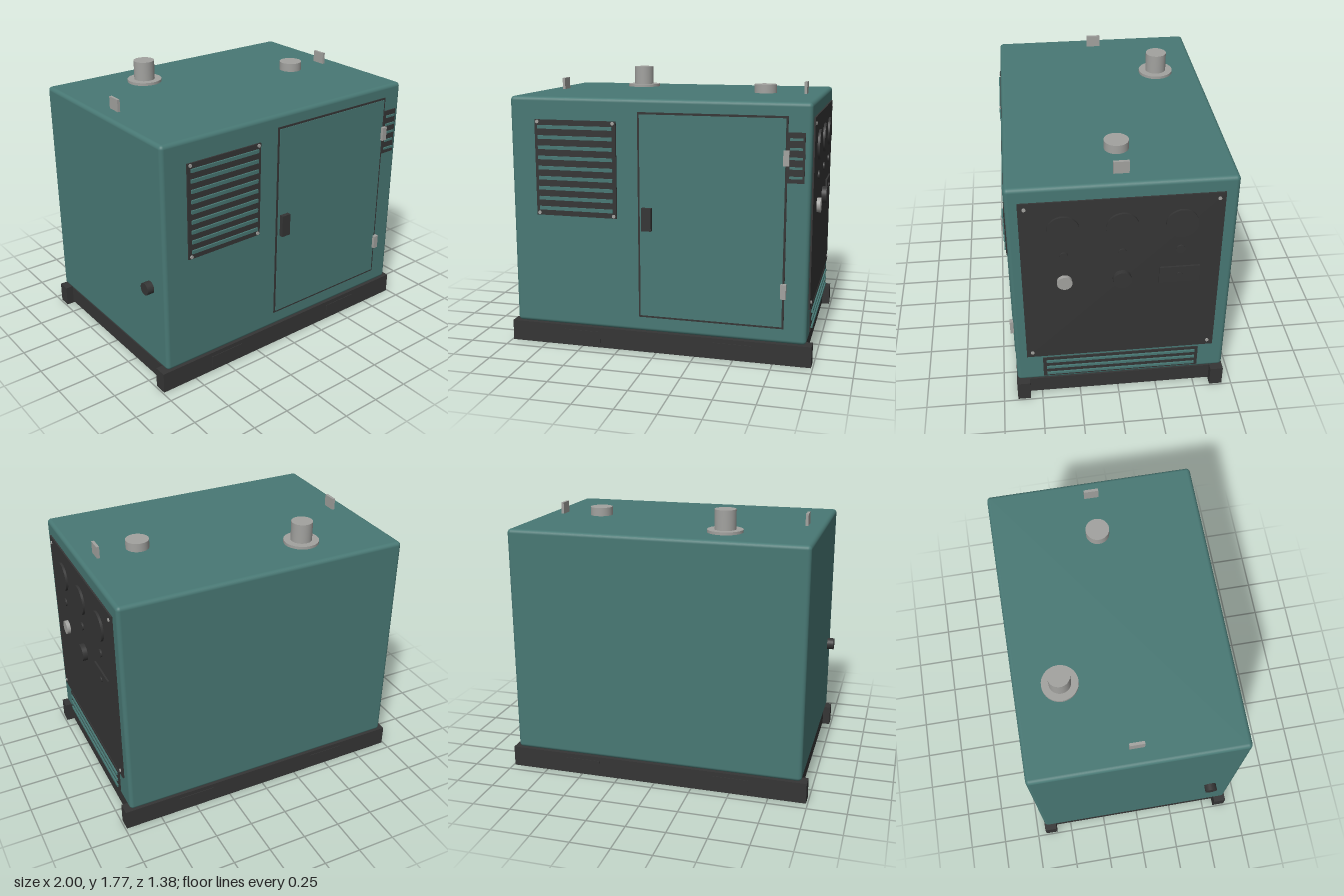
import * as THREE from 'three';
import { RoundedBoxGeometry } from 'three/addons/geometries/RoundedBoxGeometry.js';

export function createModel() {
  const model = new THREE.Group();
  model.name = 'generatorSet';
  const material = (name, color) => {
    const m = new THREE.MeshStandardMaterial({ color });
    m.name = name;
    return m;
  };
  const teal = material('teal paint', 0x487874);
  const dark = material('dark grey', 0x353535);
  const metal = material('bare metal', 0xa2a29f);

  const add = (name, geometry, mat) => {
    const mesh = new THREE.Mesh(geometry, mat);
    mesh.name = name;
    model.add(mesh);
    return mesh;
  };
  // Box given by its limits on each axis
  const box = (name, mat, x0, x1, y0, y1, z0, z1) => {
    const mesh = add(name, new THREE.BoxGeometry(x1 - x0, y1 - y0, z1 - z0), mat);
    mesh.position.set((x0 + x1) / 2, (y0 + y1) / 2, (z0 + z1) / 2);
    return mesh;
  };
  // Cylinder standing up, or lying along x or z, between two limits on its axis
  const rod = (name, mat, axis, a, b, r, u, v) => {
    const g = new THREE.CylinderGeometry(r, r, b - a, 32);
    const c = (a + b) / 2;
    if (axis === 'x') g.rotateZ(-Math.PI / 2);
    if (axis === 'z') g.rotateX(Math.PI / 2);
    const mesh = add(name, g, mat);
    if (axis === 'x') mesh.position.set(c, u, v);
    if (axis === 'y') mesh.position.set(u, c, v);
    if (axis === 'z') mesh.position.set(u, v, c);
    return mesh;
  };

  const frontZ = 0.655, backZ = -0.684, sideX = 0.955, roofY = 1.625;

  // Enclosure
  const depth = frontZ - backZ;
  const body = add('enclosure', new RoundedBoxGeometry(sideX * 2, 1.487, depth, 4, 0.025), teal);
  body.position.set(0, 0.138 + 1.487 / 2, (frontZ + backZ) / 2);

  // Skid: two rails with fork pocket plates, joined by three cross beams
  for (const [z0, z1] of [[0.577, 0.66], [-0.688, -0.605]]) {
    box('skidRail', dark, -0.99, 0.99, 0, 0.135, z0, z1);
    for (const x of [-0.5, 0.495]) {
      box('forkPocketPlate', dark, x - 0.122, x + 0.122, 0.03, 0.107, z0 - 0.004, z1 + 0.004);
    }
  }
  for (const x of [-0.895, 0, 0.895]) {
    box('crossBeam', dark, x - 0.045, x + 0.045, 0.012, 0.125, -0.61, 0.58);
  }

  // Front intake grille with louvres and corner screws
  box('intakeGrille', dark, -0.787, -0.25, 0.87, 1.483, 0.65, 0.665);
  for (let i = 0; i < 9; i++) {
    const y = 0.917 + i * 0.0651;
    box('intakeLouvre', teal, -0.765, -0.273, y - 0.011, y + 0.011, 0.655, 0.675);
  }
  for (const x of [-0.768, -0.269]) {
    for (const y of [0.885, 1.47]) rod('grilleScrew', metal, 'z', 0.66, 0.672, 0.011, x, y);
  }

  // Small front vent beside the door
  box('sideVent', dark, 0.81, 0.917, 1.148, 1.45, 0.65, 0.663);
  for (let i = 0; i < 5; i++) {
    const y = 1.182 + i * 0.057;
    box('sideVentLouvre', teal, 0.828, 0.905, y - 0.007, y + 0.007, 0.655, 0.672);
  }

  // Door: dark seal showing round a teal panel, latch and hinges
  box('doorSeal', dark, -0.112, 0.815, 0.235, 1.545, 0.65, 0.659);
  box('doorPanel', teal, -0.099, 0.802, 0.248, 1.532, 0.655, 0.663);
  box('doorLatch', dark, -0.083, -0.02, 0.807, 0.952, 0.655, 0.69);
  for (const y of [0.478, 1.297]) {
    box('doorHinge', metal, 0.791, 0.826, y - 0.046, y + 0.046, 0.655, 0.682);
  }

  // Control panel on the left side, with corner screws
  box('controlPanel', dark, 0.95, 0.965, 0.348, 1.533, -0.604, 0.584);
  for (const z of [0.547, -0.567]) {
    for (const y of [0.386, 1.495]) rod('panelScrew', metal, 'x', 0.96, 0.971, 0.011, y, z);
  }

  // Gauges, indicator lamps and switches
  for (const z of [0.332, -0.012, -0.358]) {
    rod('gauge', dark, 'x', 0.96, 0.98, 0.095, 1.341, z);
    rod('indicatorLamp', dark, 'x', 0.96, 0.975, 0.026, 1.15, z);
  }
  rod('startButton', metal, 'x', 0.96, 0.99, 0.046, 0.957, 0.332);
  rod('selectorKnob', dark, 'x', 0.96, 0.997, 0.056, 0.957, -0.012);
  box('breaker', dark, 0.96, 0.976, 0.905, 1.018, -0.48, -0.235);
  rod('breakerSwitch', dark, 'x', 0.97, 0.983, 0.018, 0.96, -0.358);

  // Lower side vent
  box('lowerVent', dark, 0.95, 0.962, 0.168, 0.325, -0.514, 0.485);
  for (const y of [0.195, 0.246, 0.297]) {
    box('lowerVentLouvre', teal, 0.955, 0.972, y - 0.008, y + 0.008, -0.492, 0.463);
  }

  // Drain outlet on the right side
  rod('drainOutlet', dark, 'x', -1, -0.945, 0.04, 0.668, 0.495);

  // Roof fittings
  rod('exhaustFlange', metal, 'y', roofY - 0.005, 1.643, 0.113, -0.385, -0.4);
  rod('exhaustPipe', metal, 'y', roofY, 1.768, 0.068, -0.385, -0.4);
  rod('fillerCap', metal, 'y', roofY - 0.005, 1.681, 0.075, 0.57, -0.018);
  for (const x of [-0.84, 0.84]) {
    box('liftingLug', metal, x - 0.009, x + 0.009, roofY - 0.005, 1.702, -0.062, 0.031);
  }

  return model;
}
